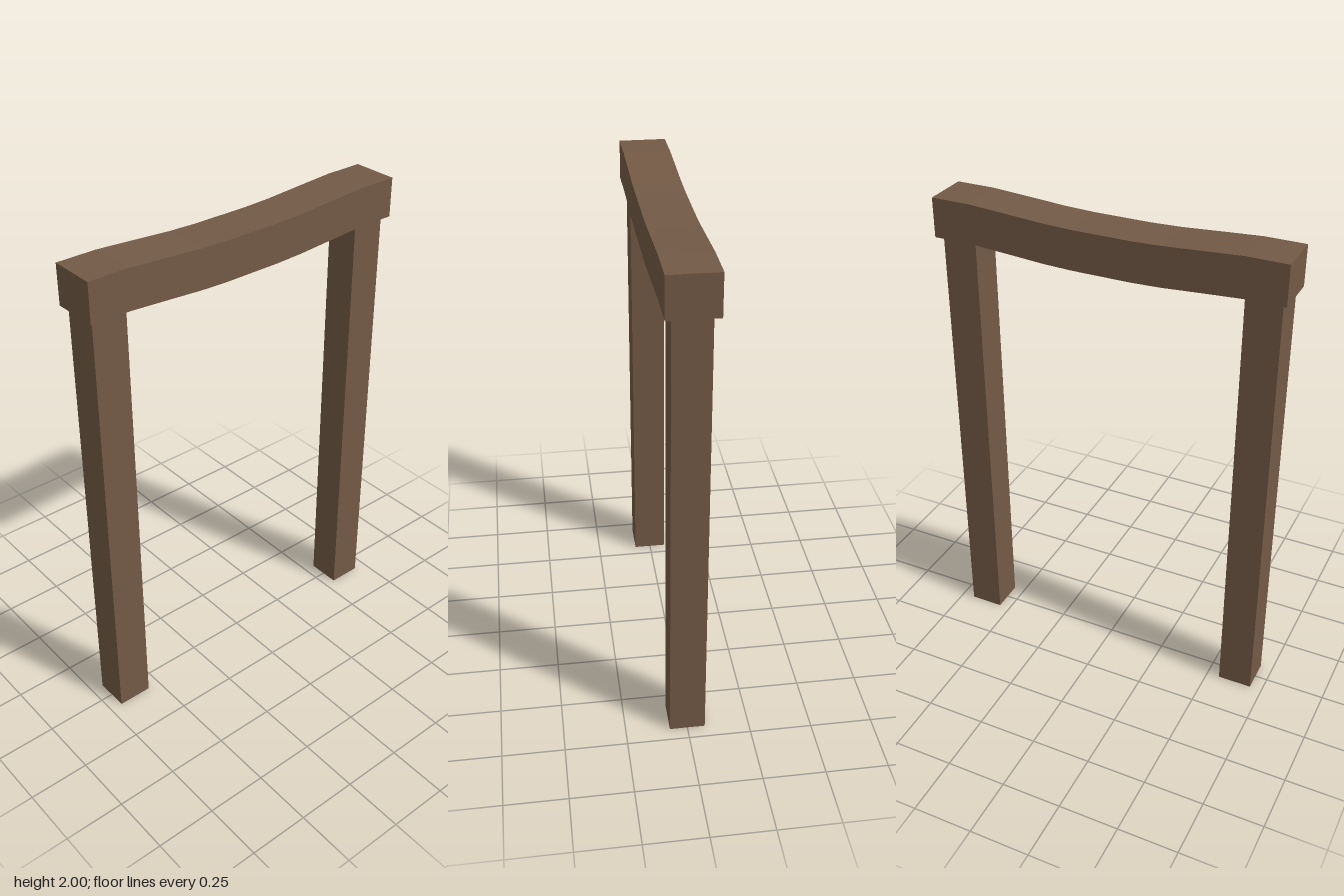
import * as THREE from 'three';

export function createModel() {
  const group = new THREE.Group();
  const wood = new THREE.MeshStandardMaterial({ color: 0x735a46, flatShading: true });

  // Sagging crossbeam: side profile as [z, drop] from the middle outwards
  const half = [[0.12, 0.025], [0.24, 0.021], [0.4, 0.01], [0.555, 0], [0.717, 0]];
  const sag = [...half.map(([z, d]) => [-z, d]).reverse(), [0, 0.025], ...half];
  const bottom = sag.map(([z, d]) => new THREE.Vector2(z, 1.838 - d));
  const top = sag.map(([z, d]) => new THREE.Vector2(z, 2 - d)).reverse();
  const width = 0.192;
  const beamGeometry = new THREE.ExtrudeGeometry(new THREE.Shape([...bottom, ...top]), {
    depth: width, bevelEnabled: false,
  });
  beamGeometry.translate(0, 0, -width / 2).rotateY(-Math.PI / 2);
  const beam = new THREE.Mesh(beamGeometry, wood);
  beam.name = 'crossbeam';
  group.add(beam);

  // Square posts, one under each end
  const height = 1.84;
  for (const [name, z] of [['frontPost', 0.626], ['backPost', -0.622]]) {
    const post = new THREE.Mesh(new THREE.BoxGeometry(0.143, height, 0.143), wood);
    post.name = name;
    post.position.set(0, height / 2, z);
    group.add(post);
  }

  return group;
}
